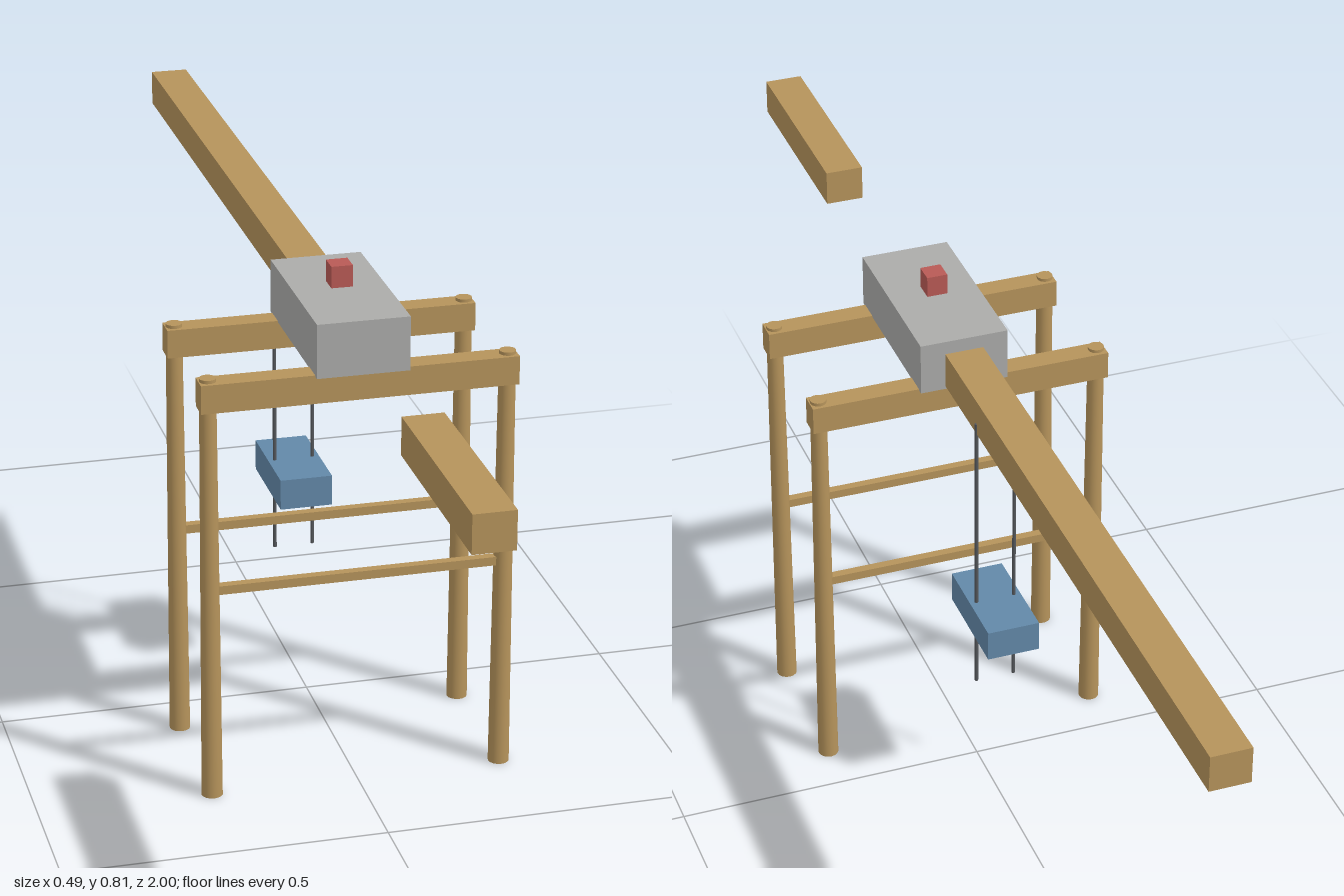
import * as THREE from 'three';

const material = (name, color) => Object.assign(new THREE.MeshStandardMaterial({ color }), { name });

export function createModel() {
  const model = new THREE.Group();
  model.name = 'timberFrame';
  const wood = material('wood', 0xb5935b);
  const stone = material('grey housing', 0xababa9);
  const blue = material('blue weight', 0x6288a8);
  const red = material('red marker', 0xb85a55);
  const steel = material('dark steel', 0x55585c);

  const add = (name, geometry, mat, x, y, z, parent = model) => {
    const mesh = new THREE.Mesh(geometry, mat);
    mesh.name = name;
    mesh.position.set(x, y, z);
    parent.add(mesh);
    return mesh;
  };
  const box = (w, h, d) => new THREE.BoxGeometry(w, h, d);

  // Two trestles: tapered legs, a header beam and a thin rung each
  const legGeometry = new THREE.CylinderGeometry(0.0128, 0.0165, 0.687, 16);
  for (const [label, z] of [['front', 0.315], ['rear', 0.085]]) {
    const trestle = new THREE.Group();
    trestle.name = label + 'Trestle';
    trestle.position.z = z;
    model.add(trestle);
    for (const side of [-1, 1]) {
      add(side > 0 ? 'leftLeg' : 'rightLeg', legGeometry, wood, side * 0.229, 0.3435, 0, trestle);
    }
    add('headerBeam', box(0.486, 0.045, 0.036), wood, 0, 0.6595, 0, trestle);
    add('rung', box(0.435, 0.014, 0.014), wood, 0, 0.345, 0, trestle);
  }

  // Housing across the trestles, with a small marker above
  add('housing', box(0.142, 0.085, 0.285), stone, 0, 0.7225, 0.2);
  add('marker', box(0.033, 0.034, 0.033), red, 0, 0.788, 0.2);

  // Long rear beam and separate short front beam
  add('rearBeam', box(0.062, 0.058, 1.06), wood, 0, 0.714, -0.47);
  add('frontBeam', box(0.062, 0.058, 0.343), wood, 0, 0.714, 0.8285);

  // Hanging weight on two rods
  add('weight', box(0.084, 0.05, 0.17), blue, 0, 0.345, -0.085);
  for (const side of [-1, 1]) {
    add('hangingRod', new THREE.CylinderGeometry(0.003, 0.003, 0.486, 8), steel, side * 0.031, 0.46, -0.085);
  }

  return model;
}
